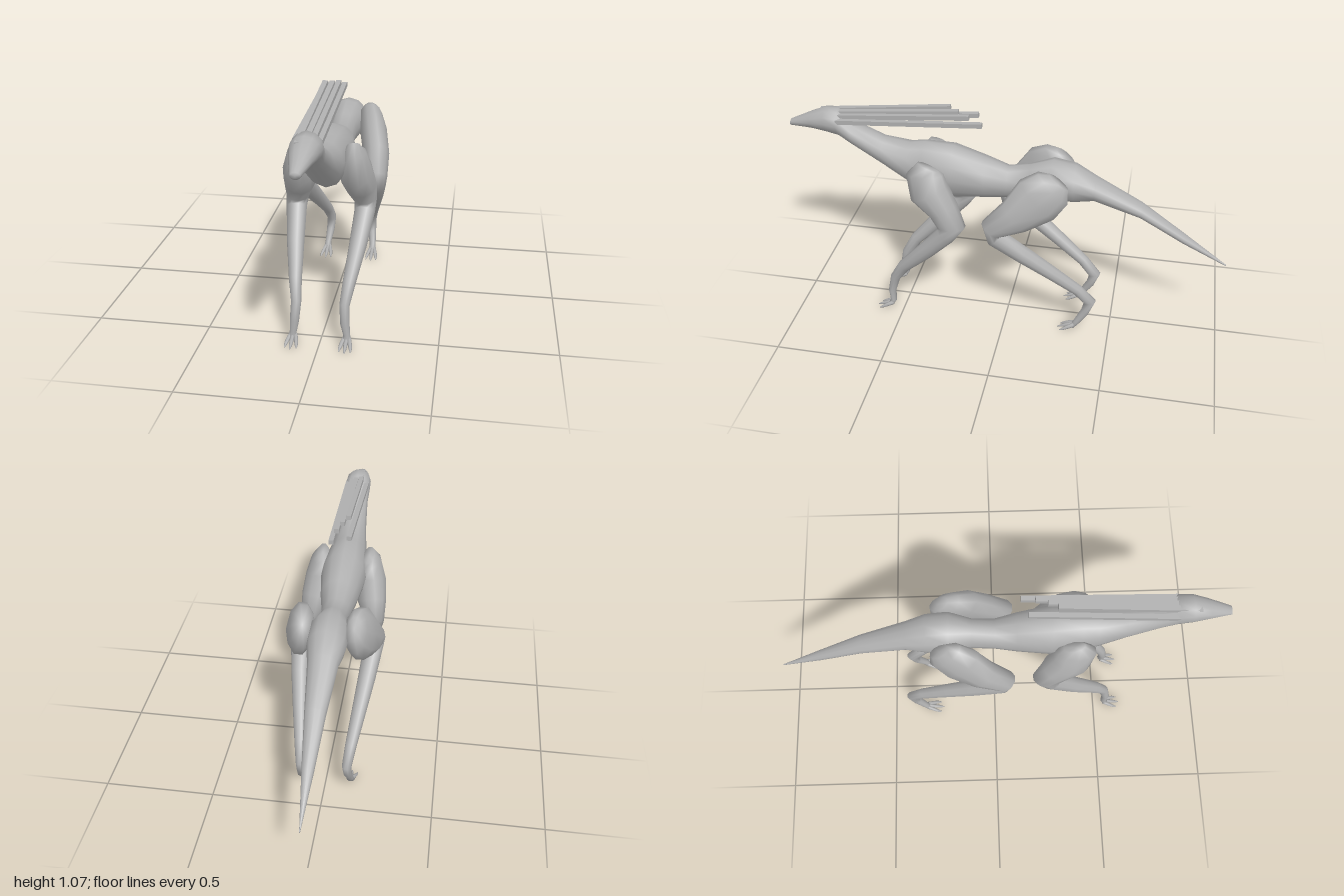
import * as THREE from 'three';

const SIDES = 10;

// Skin a tube over sections [x, y, z, halfWidth, halfDepth], closed at both ends.
// With upright set, every ring stays in a vertical plane facing along z.
function loft(sections, upright = false, sides = SIDES) {
  const centres = sections.map(s => new THREE.Vector3(s[0], s[1], s[2]));
  const pos = [], index = [];
  const last = sections.length - 1;
  sections.forEach(([, , , a, b], i) => {
    const t = upright
      ? new THREE.Vector3(0, 0, -1)
      : centres[Math.min(i + 1, last)].clone().sub(centres[Math.max(i - 1, 0)]).normalize();
    const u = new THREE.Vector3(1, 0, 0).addScaledVector(t, -t.x).normalize();
    const v = t.clone().cross(u);
    for (let j = 0; j < sides; j++) {
      const ang = (j / sides) * Math.PI * 2;
      const p = centres[i].clone()
        .addScaledVector(u, a * Math.cos(ang))
        .addScaledVector(v, b * Math.sin(ang));
      pos.push(p.x, p.y, p.z);
    }
  });
  for (let i = 0; i < last; i++) {
    for (let j = 0; j < sides; j++) {
      const k = (j + 1) % sides;
      const p = i * sides + j, q = i * sides + k;
      index.push(p, q, q + sides, p, q + sides, p + sides);
    }
  }
  // End caps
  const start = pos.length / 3;
  pos.push(...centres[0].toArray(), ...centres[last].toArray());
  for (let j = 0; j < sides; j++) {
    const k = (j + 1) % sides;
    index.push(start, k, j, start + 1, last * sides + j, last * sides + k);
  }
  const geo = new THREE.BufferGeometry();
  geo.setAttribute('position', new THREE.Float32BufferAttribute(pos, 3));
  geo.setIndex(index);
  geo.computeVertexNormals();
  return geo;
}

// Head, neck, trunk and tail: y, z, half width, half height
const BODY = [
  [0.925, 1.0, 0.02, 0.014], [0.948, 0.9, 0.045, 0.038], [0.958, 0.83, 0.06, 0.057],
  [0.952, 0.77, 0.063, 0.064], [0.9, 0.71, 0.058, 0.054], [0.825, 0.57, 0.068, 0.066],
  [0.778, 0.45, 0.085, 0.098], [0.765, 0.38, 0.092, 0.123], [0.755, 0.25, 0.105, 0.128],
  [0.738, 0.1, 0.085, 0.097], [0.725, 0, 0.065, 0.075], [0.738, -0.1, 0.062, 0.085],
  [0.76, -0.2, 0.088, 0.098], [0.752, -0.3, 0.085, 0.088], [0.733, -0.39, 0.066, 0.054],
  [0.642, -0.6, 0.045, 0.034], [0.513, -0.8, 0.025, 0.024], [0.39, -1.0, 0.002, 0.004],
].map(([y, z, a, b]) => [0, y, z, a, b]);

// Limbs from top to foot: x, y, z, half width, half depth
const FRONT_LEG = [
  [0.11, 0.825, 0.34, 0.025, 0.05], [0.115, 0.79, 0.355, 0.05, 0.085],
  [0.122, 0.7, 0.335, 0.07, 0.095], [0.135, 0.62, 0.27, 0.068, 0.07],
  [0.15, 0.545, 0.235, 0.05, 0.066], [0.15, 0.5, 0.262, 0.045, 0.046],
  [0.135, 0.38, 0.37, 0.038, 0.04], [0.115, 0.26, 0.485, 0.028, 0.03],
  [0.103, 0.18, 0.535, 0.022, 0.024], [0.108, 0.1, 0.555, 0.02, 0.018],
  [0.115, 0.045, 0.55, 0.015, 0.015], [0.115, 0.02, 0.565, 0.02, 0.012],
];
const HIND_LEG = [
  [0.11, 0.815, -0.24, 0.03, 0.055], [0.115, 0.785, -0.215, 0.052, 0.1],
  [0.135, 0.73, -0.15, 0.062, 0.12], [0.16, 0.645, -0.055, 0.06, 0.085],
  [0.173, 0.575, 0.045, 0.05, 0.055], [0.17, 0.53, 0.03, 0.045, 0.045],
  [0.155, 0.44, -0.09, 0.04, 0.042], [0.135, 0.34, -0.22, 0.033, 0.034],
  [0.115, 0.24, -0.345, 0.026, 0.027], [0.105, 0.17, -0.405, 0.022, 0.029],
  [0.108, 0.11, -0.385, 0.02, 0.02], [0.115, 0.05, -0.35, 0.015, 0.015],
  [0.115, 0.02, -0.33, 0.02, 0.012],
];

// Crest spines: start x, y, z then end x, y, z
const SPINES = [
  [-0.02, 0.99, 0.86, -0.02, 1.06, 0.26],
  [0.005, 0.99, 0.83, 0.003, 1.05, 0.22],
  [0.026, 0.985, 0.8, 0.022, 1.04, 0.17],
  [0.046, 0.972, 0.77, 0.038, 1.016, 0.11],
  [-0.046, 0.972, 0.77, -0.038, 1.024, 0.14],
];

export function createModel() {
  const model = new THREE.Group();
  model.name = 'longTailedCreature';
  const skin = new THREE.MeshStandardMaterial({ color: 0xb0b0b0 });
  skin.name = 'greySkin';

  const add = (parent, name, geo) => {
    const mesh = new THREE.Mesh(geo, skin);
    mesh.name = name;
    parent.add(mesh);
    return mesh;
  };

  add(model, 'body', loft(BODY, true, 12));

  // Legs with three clawed toes each, mirrored in x
  const legs = [['front', FRONT_LEG, 0.55], ['hind', HIND_LEG, -0.338]];
  for (const [side, s] of [['Left', 1], ['Right', -1]]) {
    for (const [name, sections, z] of legs) {
      const leg = new THREE.Group();
      leg.name = `${name}Leg${side}`;
      model.add(leg);
      add(leg, 'limb', loft(sections.map(([x, ...rest]) => [s * x, ...rest])));
      for (const d of [-1, 0, 1]) {
        const x = s * 0.115;
        const reach = d === 0 ? 0.08 : 0.068;
        add(leg, 'toe', loft([
          [x + d * 0.01, 0.034, z, 0.008, 0.011],
          [x + d * 0.018, 0.02, z + reach * 0.45, 0.009, 0.009],
          [x + d * 0.023, 0.01, z + reach * 0.75, 0.007, 0.006],
          [x + d * 0.025, 0.003, z + reach, 0.002, 0.002],
        ], false, 6));
      }
    }
  }

  // Swept-back crest of square spines
  const crest = new THREE.Group();
  crest.name = 'crest';
  model.add(crest);
  for (const p of SPINES) {
    const start = new THREE.Vector3(...p.slice(0, 3));
    const end = new THREE.Vector3(...p.slice(3));
    const spine = add(crest, 'spine', new THREE.BoxGeometry(0.022, 0.02, start.distanceTo(end)));
    spine.position.copy(start).add(end).multiplyScalar(0.5);
    spine.lookAt(end);
  }

  return model;
}
